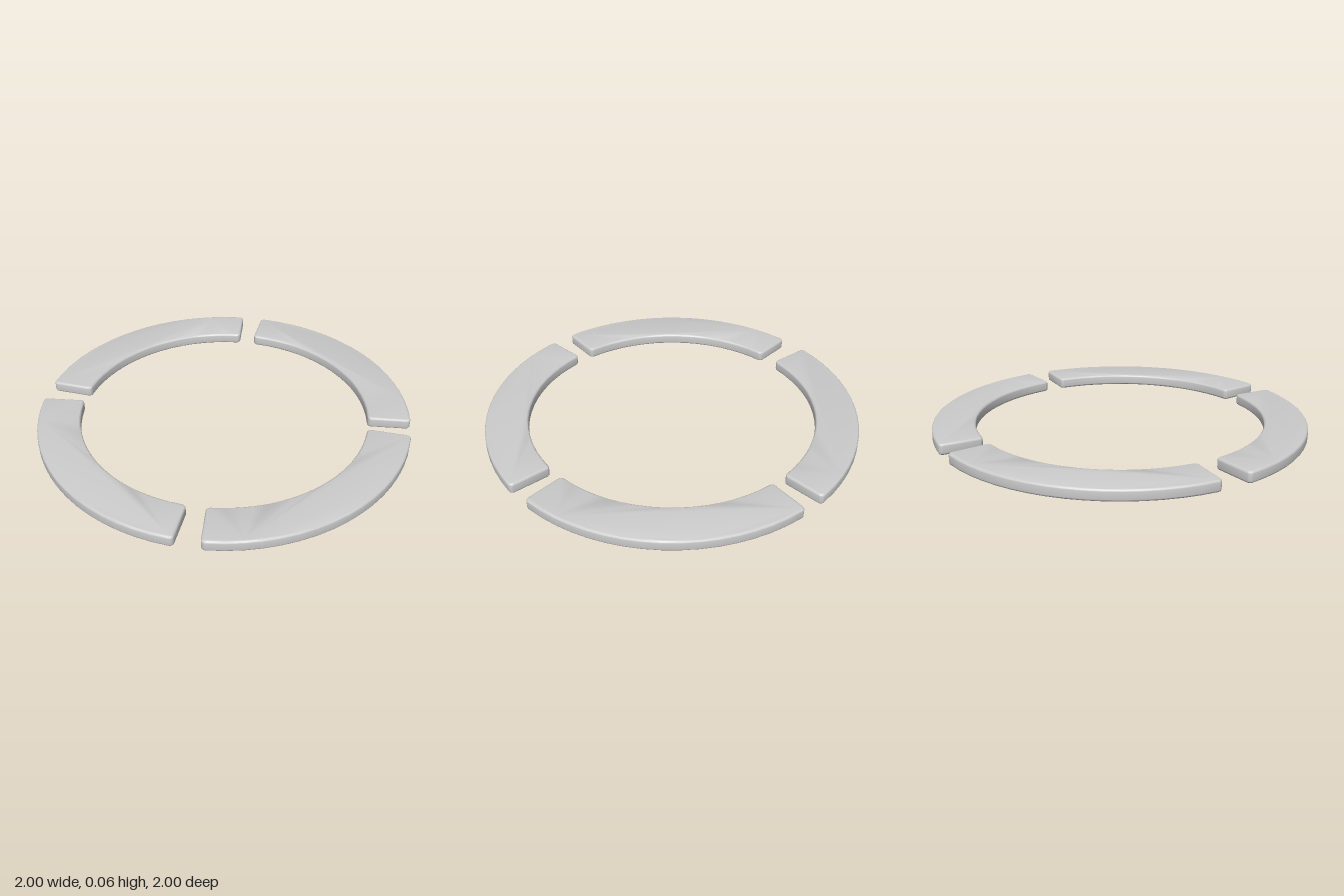
import * as THREE from 'three';
import { toCreasedNormals } from 'three/addons/utils/BufferGeometryUtils.js';

const OUTER = 1, INNER = 0.773, HEIGHT = 0.06, BEVEL = 0.012, CORNER = 0.012;
const HALF_ANGLE = THREE.MathUtils.degToRad(41.4);

// Plan of one arc piece, inset by the bevel, with softened corners
function arcShape() {
  const ro = OUTER - BEVEL, ri = INNER + BEVEL;
  const end = HALF_ANGLE - BEVEL / 0.887;
  const p = (r, a) => [r * Math.cos(a), r * Math.sin(a)];
  const ao = end - CORNER / ro, ai = end - CORNER / ri;
  const s = new THREE.Shape();
  s.moveTo(...p(ro, -ao));
  s.absarc(0, 0, ro, -ao, ao, false);
  s.quadraticCurveTo(...p(ro, end), ...p(ro - CORNER, end));
  s.lineTo(...p(ri + CORNER, end));
  s.quadraticCurveTo(...p(ri, end), ...p(ri, ai));
  s.absarc(0, 0, ri, ai, -ai, true);
  s.quadraticCurveTo(...p(ri, -end), ...p(ri + CORNER, -end));
  s.lineTo(...p(ro - CORNER, -end));
  s.quadraticCurveTo(...p(ro, -end), ...p(ro, -ao));
  return s;
}

export function createModel() {
  const group = new THREE.Group();
  group.name = 'segmentedRing';
  const material = new THREE.MeshStandardMaterial({ color: 0xcccccc });

  // Flat slab with rounded edges, laid down so the plan's y becomes z
  let geometry = new THREE.ExtrudeGeometry(arcShape(), {
    depth: HEIGHT - 2 * BEVEL, curveSegments: 8,
    bevelEnabled: true, bevelThickness: BEVEL, bevelSize: BEVEL, bevelSegments: 4,
  });
  geometry.rotateX(Math.PI / 2);
  geometry.translate(0, HEIGHT - BEVEL, 0);
  geometry = toCreasedNormals(geometry, 0.6);

  // Four pieces, each with its mid angle in degrees from +x towards +z
  const pieces = { leftArc: 0.2, frontArc: 90, rightArc: 181.2, backArc: 270.5 };
  for (const [name, degrees] of Object.entries(pieces)) {
    const mesh = new THREE.Mesh(geometry, material);
    mesh.name = name;
    mesh.rotation.y = -THREE.MathUtils.degToRad(degrees);
    group.add(mesh);
  }
  return group;
}
